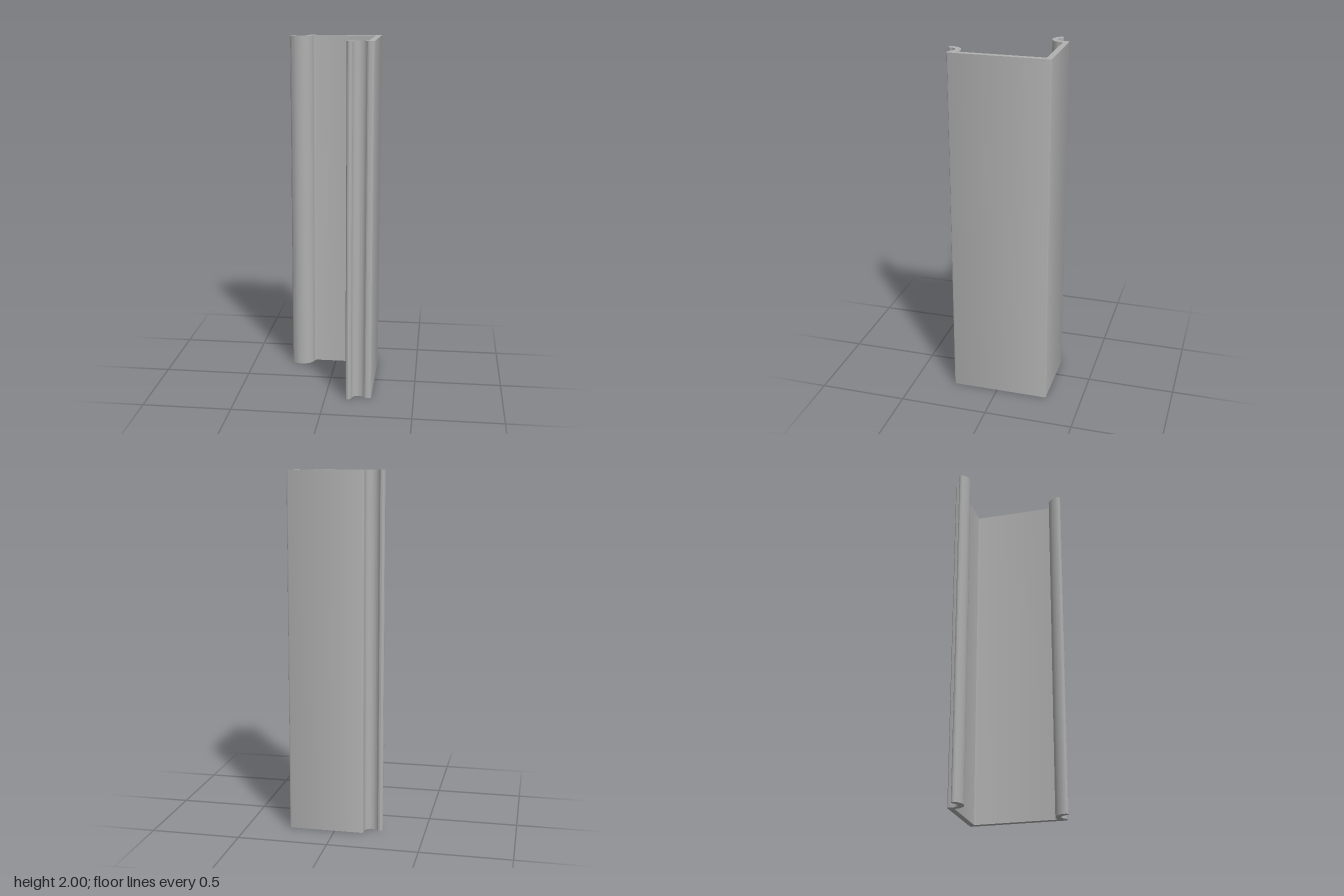
import * as THREE from 'three';
import { toCreasedNormals } from 'three/addons/utils/BufferGeometryUtils.js';

const rad = THREE.MathUtils.degToRad;
const HEIGHT = 2;
const R_IN = 0.041, R_MID = 0.057, R_OUT = 0.073, R_CAP = 0.016;

// Cross-section drawn with y pointing to the back
function profileShape() {
  const s = new THREE.Shape();
  const arc = (cx, cy, r, from, to, clockwise = false) =>
    s.absarc(cx, cy, r, rad(from), rad(to), clockwise);
  const cap = (cx, cy, angle, from, to) =>
    arc(cx + R_MID * Math.cos(rad(angle)), cy + R_MID * Math.sin(rad(angle)), R_CAP, from, to);

  // Outer faces of the side and back walls, with rounded corners
  s.moveTo(0.248, -0.263);
  arc(0.25, -0.253, 0.01, -90, 0);
  arc(0.25, 0.285, 0.01, 0, 90);
  arc(-0.15, 0.283, 0.012, 90, 180);

  // Back hook: inner curve, rounded tip, outer curve
  const [bx, by] = [-0.203, 0.263];
  arc(bx, by, R_IN, 0, -141, true);
  cap(bx, by, 219, 39, 219);
  arc(bx, by, R_OUT, 219, 350);
  s.quadraticCurveTo(-0.127, 0.263, -0.113, 0.263);

  // Inner faces of the walls
  arc(0.215, 0.251, 0.012, 90, 0, true);
  s.lineTo(0.227, -0.199);
  arc(0.213, -0.199, 0.014, 0, -100, true);

  // Front hook: outer curve, rounded tip, inner curve
  const [fx, fy] = [0.188, -0.282];
  arc(fx, fy, R_OUT, 72, 175);
  cap(fx, fy, 175, 175, 355);
  arc(fx, fy, R_IN, 175, 40, true);
  s.quadraticCurveTo(0.225, -0.263, 0.232, -0.263);
  s.closePath();
  return s;
}

export function createModel() {
  const group = new THREE.Group();
  group.name = 'cornerProfile';

  const grey = new THREE.MeshStandardMaterial({ color: 0xb0b0b0 });
  grey.name = 'grey';

  // Profile extruded upright, smooth round its curves
  const extrusion = new THREE.ExtrudeGeometry(profileShape(), {
    depth: HEIGHT, bevelEnabled: false, curveSegments: 16,
  });
  extrusion.rotateX(-Math.PI / 2);
  const rail = new THREE.Mesh(toCreasedNormals(extrusion, 0.6), grey);
  rail.name = 'hookedRail';
  group.add(rail);
  return group;
}
